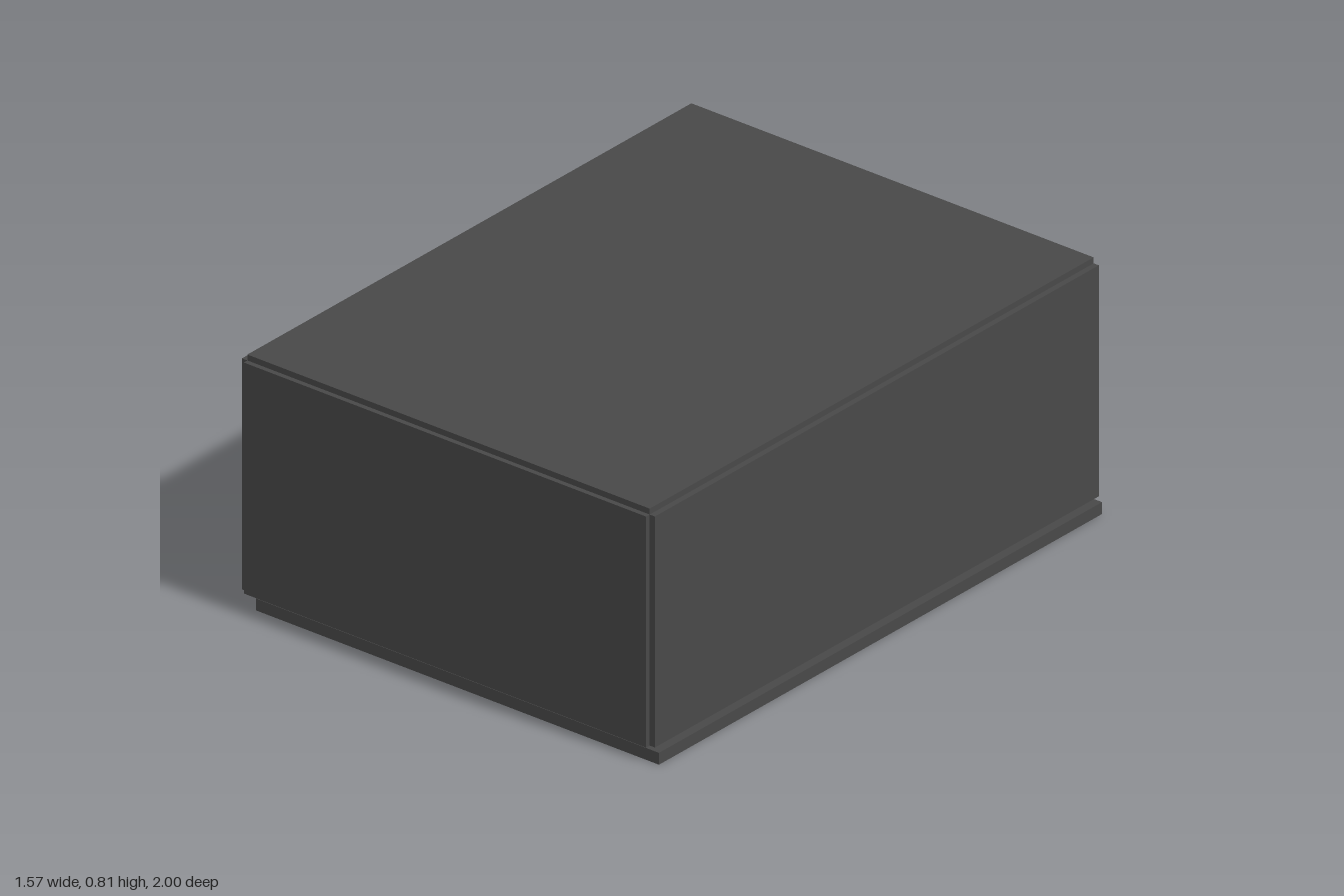
import * as THREE from 'three';

export function createModel() {
  const root = new THREE.Group();
  root.name = 'hangar';

  const mat = (name, color) => {
    const m = new THREE.MeshStandardMaterial({ color });
    m.name = name;
    return m;
  };
  const shellGrey = mat('shell grey', 0x484848);
  const darkGrey = mat('dark grey', 0x2e2e30);
  const steel = mat('steel', 0x3c3d40);
  const cyan = mat('cyan light', 0x35b8dc);
  const amber = mat('amber', 0xd9a23c);
  const rust = mat('rust red', 0x8c3f2c);

  const add = (name, geo, material, x, y, z, parent = root) => {
    const m = new THREE.Mesh(geo, material);
    m.name = name;
    m.position.set(x, y, z);
    parent.add(m);
    return m;
  };
  // Box given by its low and high corners
  const span = (name, material, x0, x1, y0, y1, z0, z1, parent = root) =>
    add(name, new THREE.BoxGeometry(x1 - x0, y1 - y0, z1 - z0), material,
      (x0 + x1) / 2, (y0 + y1) / 2, (z0 + z1) / 2, parent);
  const group = (name) => {
    const g = new THREE.Group();
    g.name = name;
    root.add(g);
    return g;
  };

  // Shell: slab, roof, front wall and sides, open at the back
  span('floorSlab', shellGrey, -0.697, 0.784, 0, 0.038, -0.99, 0.99);
  span('roof', shellGrey, -0.734, 0.745, 0.787, 0.806, -1, 0.984);
  span('frontWall', shellGrey, -0.734, 0.745, 0.046, 0.787, 0.984, 1);
  span('rightWall', shellGrey, -0.754, -0.734, 0.046, 0.787, -1, 0.984);
  span('leftWall', shellGrey, 0.745, 0.764, 0.046, 0.787, -1, 0.984);

  const floorY = 0.038;
  const padX = 0.043;

  // Floor seams
  const seams = group('floorSeams');
  for (const z of [-0.59, 0, 0.59])
    span('crossSeam', darkGrey, -0.69, 0.74, floorY, floorY + 0.002, z - 0.007, z + 0.007, seams);
  for (const x of [-0.37, 0, 0.37])
    span('longSeam', darkGrey, padX + x - 0.007, padX + x + 0.007, floorY, floorY + 0.002, -0.985, 0.98, seams);

  // Landing ring with twelve marker lights and guide lines
  const pad = group('landingPad');
  pad.position.set(padX, floorY, 0);
  const ringShape = new THREE.Shape().absarc(0, 0, 0.54, 0, Math.PI * 2);
  ringShape.holes.push(new THREE.Path().absarc(0, 0, 0.517, 0, Math.PI * 2, true));
  const ringGeo = new THREE.ExtrudeGeometry(ringShape, { depth: 0.008, bevelEnabled: false, curveSegments: 48 });
  ringGeo.rotateX(-Math.PI / 2);
  add('padRing', ringGeo, cyan, 0, 0, 0, pad);
  const dotGeo = new THREE.CylinderGeometry(0.01, 0.01, 0.01, 10);
  for (let i = 0; i < 12; i++) {
    const a = (i * Math.PI) / 6;
    add('markerLight', dotGeo, amber, 0.485 * Math.cos(a), 0.005, 0.485 * Math.sin(a), pad);
  }
  for (const s of [-1, 1]) {
    add('padLine', new THREE.BoxGeometry(0.016, 0.008, 0.28), cyan, s * 0.35, 0.004, 0, pad);
    add('padLine', new THREE.BoxGeometry(0.28, 0.008, 0.016), cyan, 0, 0.004, s * 0.35, pad);
    add('approachLine', new THREE.BoxGeometry(0.018, 0.008, 0.34), cyan, s * 0.3, 0.004, -0.635, pad);
  }

  // Posts, rails and hazard strips on both side walls
  for (const s of [-1, 1]) {
    const side = group(s > 0 ? 'leftWallFittings' : 'rightWallFittings');
    const wallX = 0.005 + s * 0.739;
    for (let i = -2; i <= 2; i++)
      add('wallPost', new THREE.BoxGeometry(0.022, 0.635, 0.022), steel, wallX - s * 0.02, 0.355, i * 0.27, side);
    for (const y of [0.17, 0.41, 0.65])
      add('wallRail', new THREE.BoxGeometry(0.022, 0.022, 1.74), steel, wallX - s * 0.009, y, 0, side);
    for (let i = -20; i <= 20; i++)
      add('hazardBlock', new THREE.BoxGeometry(0.014, 0.036, 0.034), amber, wallX - s * 0.005, 0.22, i * 0.04, side);
  }

  // Ceiling lamps
  for (const x of [-0.3, 0.3])
    for (const z of [-0.4, 0.4]) {
      const lamp = group('ceilingLamp');
      lamp.position.set(0.005 + x, 0.787, z);
      add('lampFrame', new THREE.BoxGeometry(0.22, 0.02, 0.1), steel, 0, -0.01, 0, lamp);
      add('lampPanel', new THREE.BoxGeometry(0.19, 0.008, 0.07), cyan, 0, -0.023, 0, lamp);
    }

  // Overhead crane
  const crane = group('overheadCrane');
  span('craneBridge', steel, -0.72, 0.73, 0.73, 0.755, -0.025, 0, crane);
  span('craneTrolley', steel, -0.12, -0.085, 0.735, 0.76, -0.15, 0.15, crane);

  // Barrels with raised hoops
  const barrel = (x, z, material, y = floorY) => {
    const g = group('barrel');
    g.position.set(x, y, z);
    add('barrelBody', new THREE.CylinderGeometry(0.036, 0.036, 0.1, 16), material, 0, 0.05, 0, g);
    for (const h of [0.008, 0.036, 0.066, 0.094])
      add('barrelHoop', new THREE.CylinderGeometry(0.039, 0.039, 0.008, 16), darkGrey, 0, h, 0, g);
  };
  barrel(0.555, -0.38, rust);
  barrel(0.476, -0.4, steel);
  barrel(0.56, -0.27, steel);
  barrel(-0.236, -0.65, rust);

  // Storage rack with upright bars
  const rack = group('storageRack');
  span('rackBody', darkGrey, 0.47, 0.72, floorY, 0.22, 0.31, 0.4, rack);
  for (let i = 0; i < 6; i++)
    add('rackBar', new THREE.BoxGeometry(0.014, 0.18, 0.014), steel, 0.485 + i * 0.044, floorY + 0.09, 0.303, rack);

  // Parked sled whose rounded wing passes through the right wall
  const sled = group('parkedSled');
  sled.position.set(-0.46, 0.158, -0.135);
  add('sledWing', new THREE.BoxGeometry(0.66, 0.011, 0.11), steel, 0, 0, 0, sled);
  add('sledBody', new THREE.BoxGeometry(0.14, 0.07, 0.34), darkGrey, 0, 0.01, 0, sled);
  add('sledLight', new THREE.BoxGeometry(0.08, 0.006, 0.06), cyan, 0, 0.047, -0.08, sled);
  for (const s of [-1, 1])
    add('sledSkid', new THREE.BoxGeometry(0.02, 0.1, 0.26), darkGrey, s * 0.055, -0.07, 0, sled);

  return root;
}
